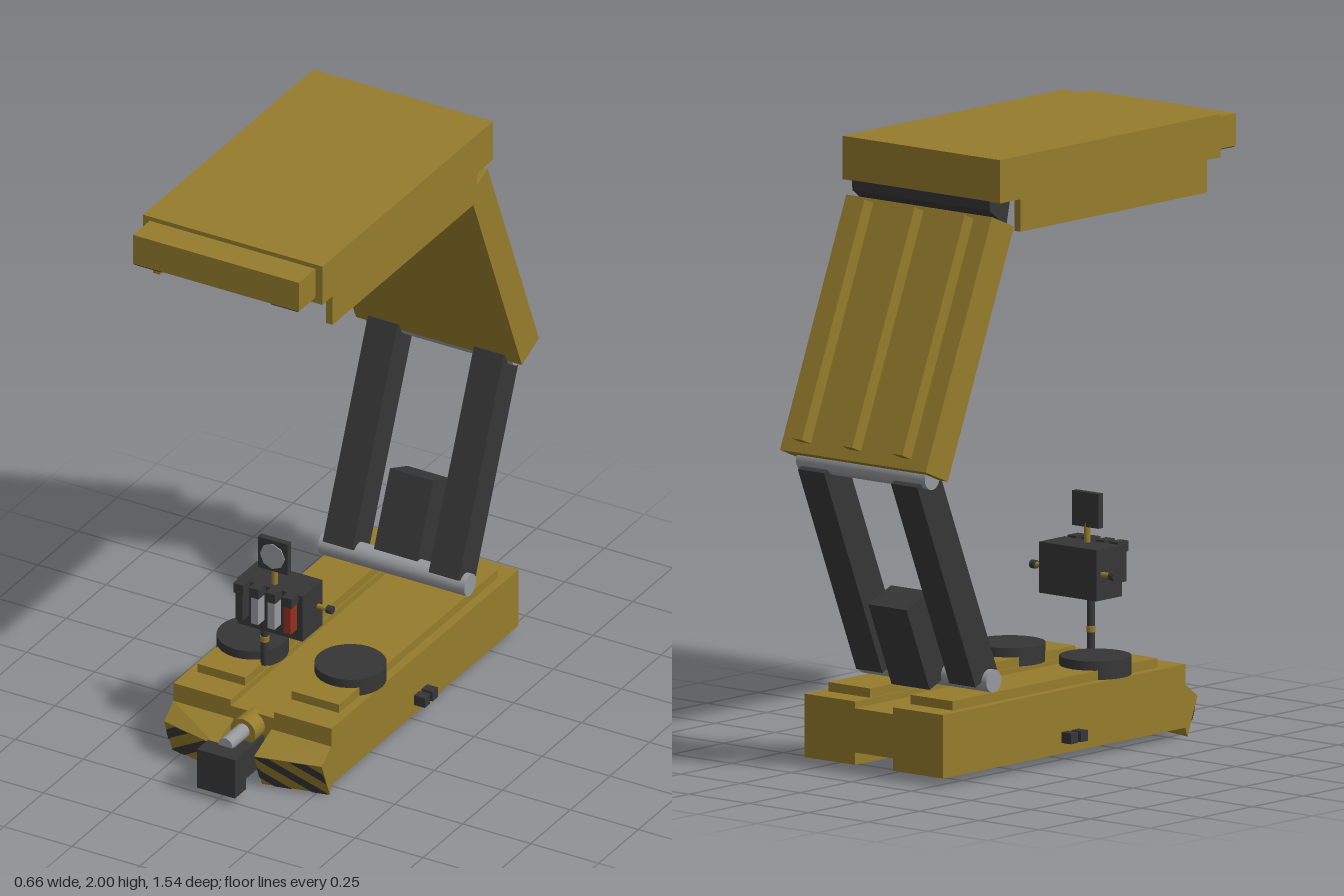
import * as THREE from 'three';
import { ConvexGeometry } from 'three/addons/geometries/ConvexGeometry.js';

const material = (name, color, side = THREE.FrontSide) => {
  const m = new THREE.MeshStandardMaterial({ color, side });
  m.name = name;
  return m;
};

export function createModel() {
  const ochre = material('ochre paint', 0x957c2c);
  const black = material('black steel', 0x363637);
  const stripeBlack = black.clone();
  stripeBlack.side = THREE.DoubleSide;
  const grey = material('bare metal', 0x96999c);
  const red = material('red lever', 0x93301f);
  const root = new THREE.Group();
  root.name = 'loadingMachine';

  const add = (name, geometry, mat) => {
    const mesh = new THREE.Mesh(geometry, mat);
    mesh.name = name;
    root.add(mesh);
    return mesh;
  };
  // Box given by its extents on each axis
  const box = (name, mat, x0, x1, y0, y1, z0, z1) =>
    add(name, new THREE.BoxGeometry(x1 - x0, y1 - y0, z1 - z0)
      .translate((x0 + x1) / 2, (y0 + y1) / 2, (z0 + z1) / 2), mat);
  // Cylinder along one axis
  const rod = (name, mat, r, length, axis, x, y, z, sides = 20) => {
    const g = new THREE.CylinderGeometry(r, r, length, sides);
    if (axis === 'x') g.rotateZ(Math.PI / 2);
    if (axis === 'z') g.rotateX(Math.PI / 2);
    return add(name, g.translate(x, y, z), mat);
  };
  const shapeOf = (pts) => new THREE.Shape(pts.map(([a, b]) => new THREE.Vector2(a, b)));
  // Side outline in (z, y), extruded across x
  const prism = (name, mat, pts, x0, x1) => {
    const g = new THREE.ExtrudeGeometry(shapeOf(pts), { depth: x1 - x0, bevelEnabled: false });
    return add(name, g.translate(0, 0, -(x1 - x0) / 2).rotateY(-Math.PI / 2)
      .translate((x0 + x1) / 2, 0, 0), mat);
  };
  // Tilted rectangle in the side plane: a runs along the limb, p towards its back
  const tilted = (origin, dir, back, a0, a1, p0, p1) =>
    [[a0, p0], [a1, p0], [a1, p1], [a0, p1]].map(([a, p]) =>
      [origin[0] + dir[0] * a + back[0] * p, origin[1] + dir[1] * a + back[1] * p]);

  // Base with a channel above and below
  const half = [[0.08, 0.03], [0.29, 0.03], [0.29, 0.235], [0.08, 0.235], [0.08, 0.213]];
  const outline = [[0.08, 0.07], ...half, ...half.map(([x, y]) => [-x, y]).reverse(), [-0.08, 0.07]];
  add('base', new THREE.ExtrudeGeometry(shapeOf(outline), { depth: 1.18, bevelEnabled: false })
    .translate(0, 0, -0.64), ochre);
  box('bellyPlate', black, -0.075, 0.075, 0.045, 0.075, -0.4, 0.53);

  for (const s of [-1, 1]) {
    const span = (a, b) => (s > 0 ? [a, b] : [-b, -a]);
    box('deckPad', ochre, ...span(0.085, 0.26), 0.23, 0.265, -0.56, 0.44);
    rod('lowerDisc', black, 0.115, 0.06, 'y', s * 0.18, 0.265, 0.23, 28);
    for (const z of [-0.047, 0.002]) {
      box('sideLug', black, ...span(0.285, 0.33), 0.065, 0.1, z - 0.017, z + 0.017);
    }

    // Wedge bumper, set back towards the outer side
    const corners = [];
    const front = { 0.07: 0.65, 0.29: 0.6 };
    for (const x of [0.07, 0.29]) {
      const z = front[x];
      for (const [pz, py] of [[0.54, 0.17], [z, 0.125], [z - 0.05, 0], [0.54, 0.03]]) {
        corners.push(new THREE.Vector3(s * x, py, pz));
      }
    }
    add('bumper', new ConvexGeometry(corners), ochre);

    // Diagonal hazard stripes on the bumper front
    const position = [], index = [], rows = 8;
    const point = (u, v) => {
      const c = Math.min(1, Math.max(0, u));
      position.push(s * (0.07 + 0.22 * c), 0.125 * v, 0.604 - 0.05 * c + 0.05 * v);
    };
    for (let k = 0; k < 3; k++) {
      for (let r = 0; r < rows; r++) {
        const n = position.length / 3, v0 = r / rows, v1 = (r + 1) / rows;
        const u = 0.2 + k * 0.56;
        point(u - 0.8 * v0, v0);
        point(u + 0.26 - 0.8 * v0, v0);
        point(u + 0.26 - 0.8 * v1, v1);
        point(u - 0.8 * v1, v1);
        index.push(...(s > 0 ? [0, 1, 2, 0, 2, 3] : [0, 2, 1, 0, 3, 2]).map((i) => n + i));
      }
    }
    const stripes = new THREE.BufferGeometry();
    stripes.setAttribute('position', new THREE.Float32BufferAttribute(position, 3));
    stripes.setIndex(index);
    stripes.computeVertexNormals();
    add('hazardStripes', stripes, stripeBlack);
  }

  // Front coupler
  rod('couplerSocket', ochre, 0.046, 0.08, 'z', 0, 0.17, 0.56);
  rod('couplerPiston', grey, 0.025, 0.14, 'z', 0, 0.175, 0.64);
  box('couplerArm', black, -0.045, 0.045, 0.04, 0.14, 0.53, 0.71);
  box('couplerBlock', black, -0.07, 0.07, 0.03, 0.17, 0.7, 0.77);

  // Lower arms and their counterweight
  const foot = [-0.383, 0.313], armDir = [-0.384, 0.923], armBack = [-0.923, -0.384];
  for (const x of [-0.195, 0.195]) {
    prism('lowerArm', black, tilted(foot, armDir, armBack, 0, 0.742, -0.057, 0.057), x - 0.055, x + 0.055);
  }
  prism('counterweight', black, tilted(foot, armDir, armBack, -0.013, 0.283, -0.03, 0.09), -0.08, 0.08);
  rod('footAxle', grey, 0.037, 0.54, 'x', 0, 0.305, -0.37);
  rod('elbowAxle', grey, 0.036, 0.54, 'x', 0, 1.0, -0.67);

  // Upper panel with ribs on its back
  const elbow = [-0.635, 0.99], panelDir = [0.383, 0.924], panelBack = [-0.924, 0.383];
  prism('upperPanel', ochre, tilted(elbow, panelDir, panelBack, 0, 0.844, 0, 0.117), -0.305, 0.305);
  for (const x of [-0.21, 0, 0.21]) {
    prism('panelRib', ochre, tilted(elbow, panelDir, panelBack, 0.035, 0.83, 0.11, 0.164), x - 0.023, x + 0.023);
  }
  prism('roofHinge', black, [[-0.31, 1.862], [-0.412, 1.862], [-0.41, 1.83], [-0.33, 1.77]], -0.288, 0.288);

  // Roof with side skirts, nose and discs beneath
  box('roof', ochre, -0.33, 0.33, 1.86, 2, -0.41, 0.665);
  box('roofNose', ochre, -0.305, 0.305, 1.88, 1.985, 0.66, 0.77);
  for (const s of [-1, 1]) {
    box('roofSkirt', ochre, s * 0.3175 - 0.0125, s * 0.3175 + 0.0125, 1.755, 1.87, -0.31, 0.6);
    rod('roofDisc', black, 0.115, 0.08, 'y', s * 0.18, 1.825, 0.23, 28);
    box('noseStripe', black, s * 0.25 - 0.05, s * 0.25 + 0.05, 1.876, 1.882, 0.67, 0.768);
  }
  box('lampRail', grey, -0.24, 0.24, 1.845, 1.862, 0.625, 0.655);
  for (const x of [-0.21, -0.105, 0, 0.105, 0.21]) {
    rod('lamp', ochre, 0.009, 0.025, 'y', x, 1.837, 0.64, 8);
  }

  // Control box on its post
  rod('post', black, 0.013, 0.2, 'y', -0.08, 0.36, 0.325, 12);
  rod('postCollar', ochre, 0.015, 0.02, 'y', -0.08, 0.355, 0.325, 12);
  box('controlBox', black, -0.12, 0.12, 0.45, 0.615, 0.305, 0.43);
  [[-0.09, black], [-0.033, grey], [0.027, grey], [0.087, red]].forEach(([x, mat]) => {
    box('lever', mat, x - 0.013, x + 0.013, 0.49, 0.59, 0.425, 0.47);
    box('leverCap', black, x - 0.018, x + 0.018, 0.588, 0.622, 0.425, 0.475);
  });
  rod('handle', ochre, 0.009, 0.31, 'x', 0, 0.533, 0.333, 10);
  for (const s of [-1, 1]) rod('handleGrip', black, 0.014, 0.02, 'x', s * 0.165, 0.533, 0.333, 10);
  rod('signalPole', ochre, 0.011, 0.07, 'y', 0, 0.64, 0.4, 10);
  box('signalPlate', black, -0.055, 0.055, 0.665, 0.777, 0.39, 0.412);
  rod('signalFace', grey, 0.045, 0.006, 'z', 0, 0.72, 0.413, 8);

  return root;
}
